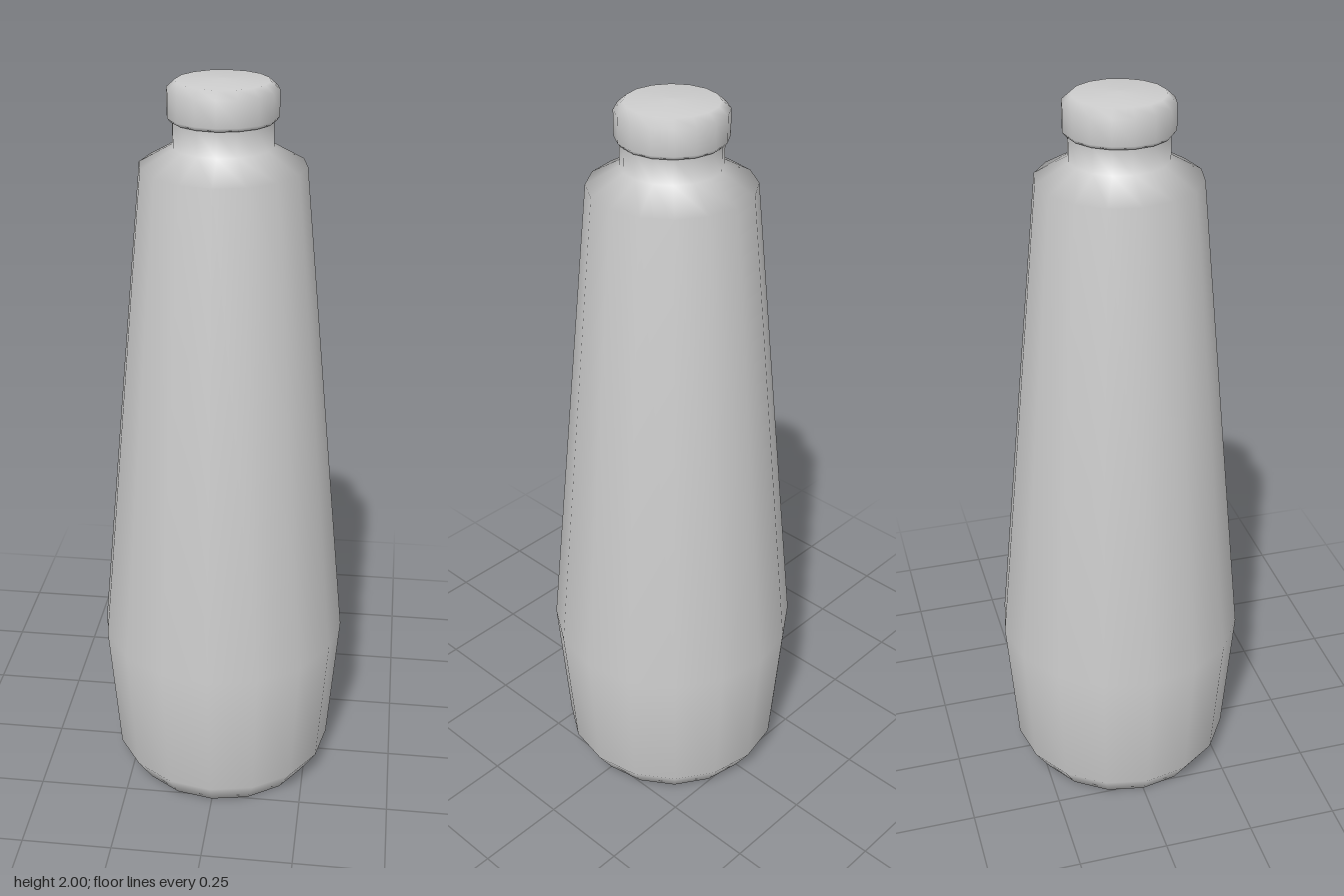
import * as THREE from 'three';

const SIDES = 16;

// Smooth 16-sided turned part from [radius, height] pairs, listed bottom to top
function turned(name, profile, material) {
  const points = profile.map(([r, y]) => new THREE.Vector2(r, y));
  const mesh = new THREE.Mesh(new THREE.LatheGeometry(points, SIDES), material);
  mesh.name = name;
  return mesh;
}

export function createModel() {
  const group = new THREE.Group();
  group.name = 'bottle';
  const material = new THREE.MeshStandardMaterial({ color: 0xcccccc, side: THREE.DoubleSide });

  // Closed base, bevelled foot, belly, long taper, shoulder and neck
  group.add(turned('body', [
    [0, 0], [0.265, 0], [0.31, 0.07], [0.34, 0.455],
    [0.212, 1.787], [0.127, 1.835], [0.127, 1.9],
  ], material));

  // Cap with a small lip below and a bevelled top
  group.add(turned('cap', [
    [0, 1.9], [0.132, 1.9], [0.14, 1.91], [0.14, 1.975], [0.117, 1.995], [0, 2],
  ], material));

  return group;
}
